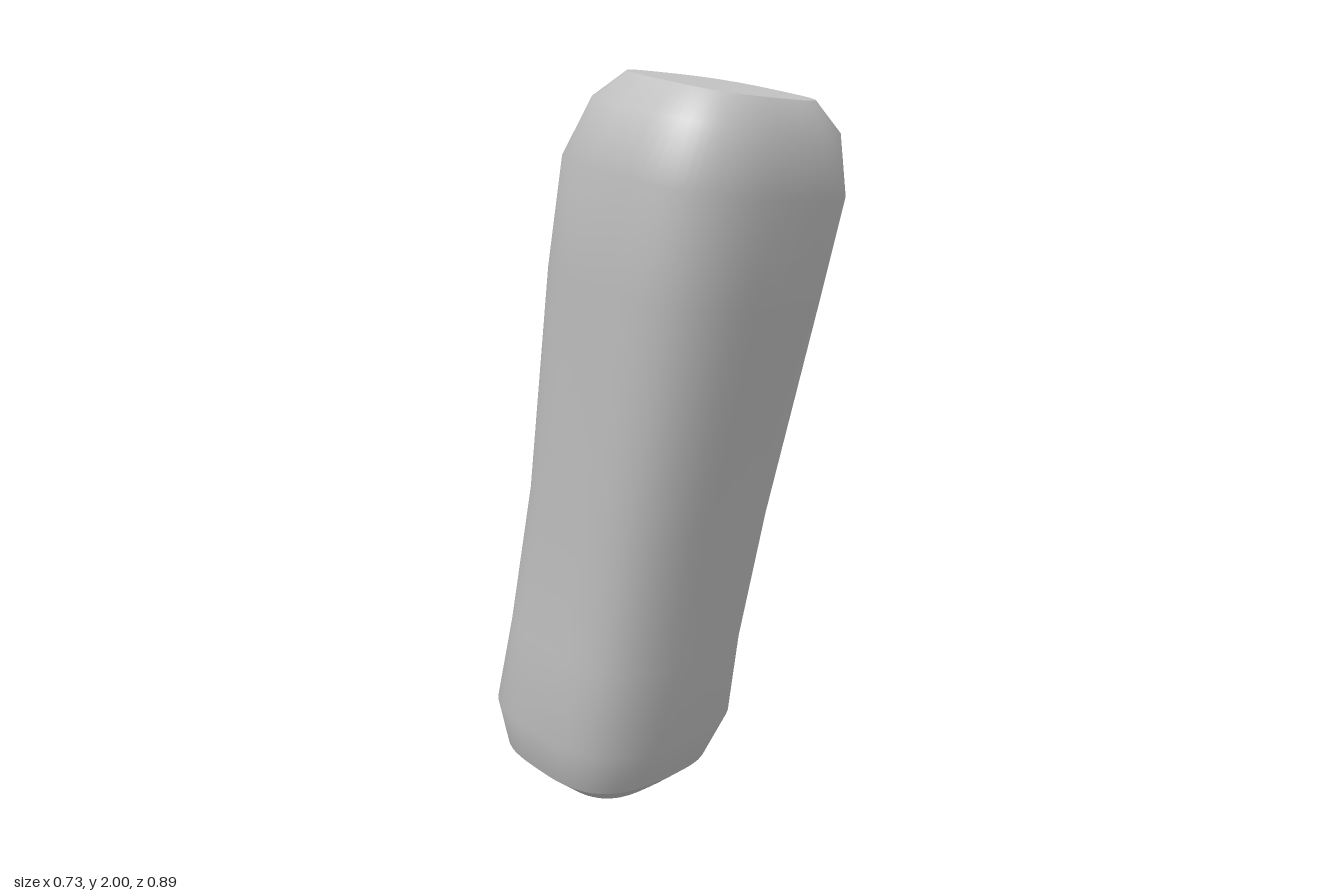
import * as THREE from 'three';

// Cross-sections from bottom to top: [front z, front y, back z, back y, half width]
const SECTIONS = [
  [-0.05, 0.0, -0.39, 0.08, 0.20],
  [0.02, 0.05, -0.44, 0.15, 0.285],
  [0.085, 0.18, -0.445, 0.29, 0.333],
  [0.13, 0.42, -0.39, 0.53, 0.32],
  [0.22, 0.80, -0.3, 0.92, 0.325],
  [0.38, 1.40, -0.2, 1.52, 0.356],
  [0.45, 1.67, -0.135, 1.80, 0.367],
  [0.45, 1.83, -0.06, 1.94, 0.317],
  [0.40, 1.915, 0.015, 2.0, 0.24],
];
const SIDES = 64;
const POWER = 2 / 3; // rounded-square outline

const soften = (v) => Math.sign(v) * Math.abs(v) ** POWER;

// One tilted, rounded-square ring of points
function ring([fz, fy, bz, by, w]) {
  const points = [];
  for (let i = 0; i < SIDES; i++) {
    const a = (i / SIDES) * Math.PI * 2;
    const t = (soften(Math.sin(a)) + 1) / 2;
    points.push(new THREE.Vector3(
      w * soften(Math.cos(a)), by + (fy - by) * t, bz + (fz - bz) * t));
  }
  return points;
}

function build(points, index) {
  const geometry = new THREE.BufferGeometry().setFromPoints(points);
  geometry.setIndex(index);
  geometry.computeVertexNormals();
  return geometry;
}

// Smooth skin through a run of sections
function loft(sections) {
  const index = [];
  for (let r = 0; r < sections.length - 1; r++) {
    for (let i = 0; i < SIDES; i++) {
      const a = r * SIDES + i;
      const b = r * SIDES + (i + 1) % SIDES;
      index.push(a, a + SIDES, b, b, a + SIDES, b + SIDES);
    }
  }
  return build(sections.flatMap(ring), index);
}

// Flat end face
function cap(section, up) {
  const [fz, fy, bz, by] = section;
  const points = [...ring(section), new THREE.Vector3(0, (fy + by) / 2, (fz + bz) / 2)];
  const index = [];
  for (let i = 0; i < SIDES; i++) {
    const j = (i + 1) % SIDES;
    index.push(SIDES, up ? j : i, up ? i : j);
  }
  return build(points, index);
}

export function createModel() {
  const group = new THREE.Group();
  group.name = 'leaningBlock';
  const grey = new THREE.MeshStandardMaterial({ color: 0xc0c0c0 });
  grey.name = 'grey';

  const add = (name, geometry) => {
    const mesh = new THREE.Mesh(geometry, grey);
    mesh.name = name;
    group.add(mesh);
  };

  add('body', loft(SECTIONS.slice(1)));
  add('bottomBevel', loft(SECTIONS.slice(0, 2)));
  add('topFace', cap(SECTIONS[SECTIONS.length - 1], true));
  add('bottomFace', cap(SECTIONS[0], false));
  return group;
}
